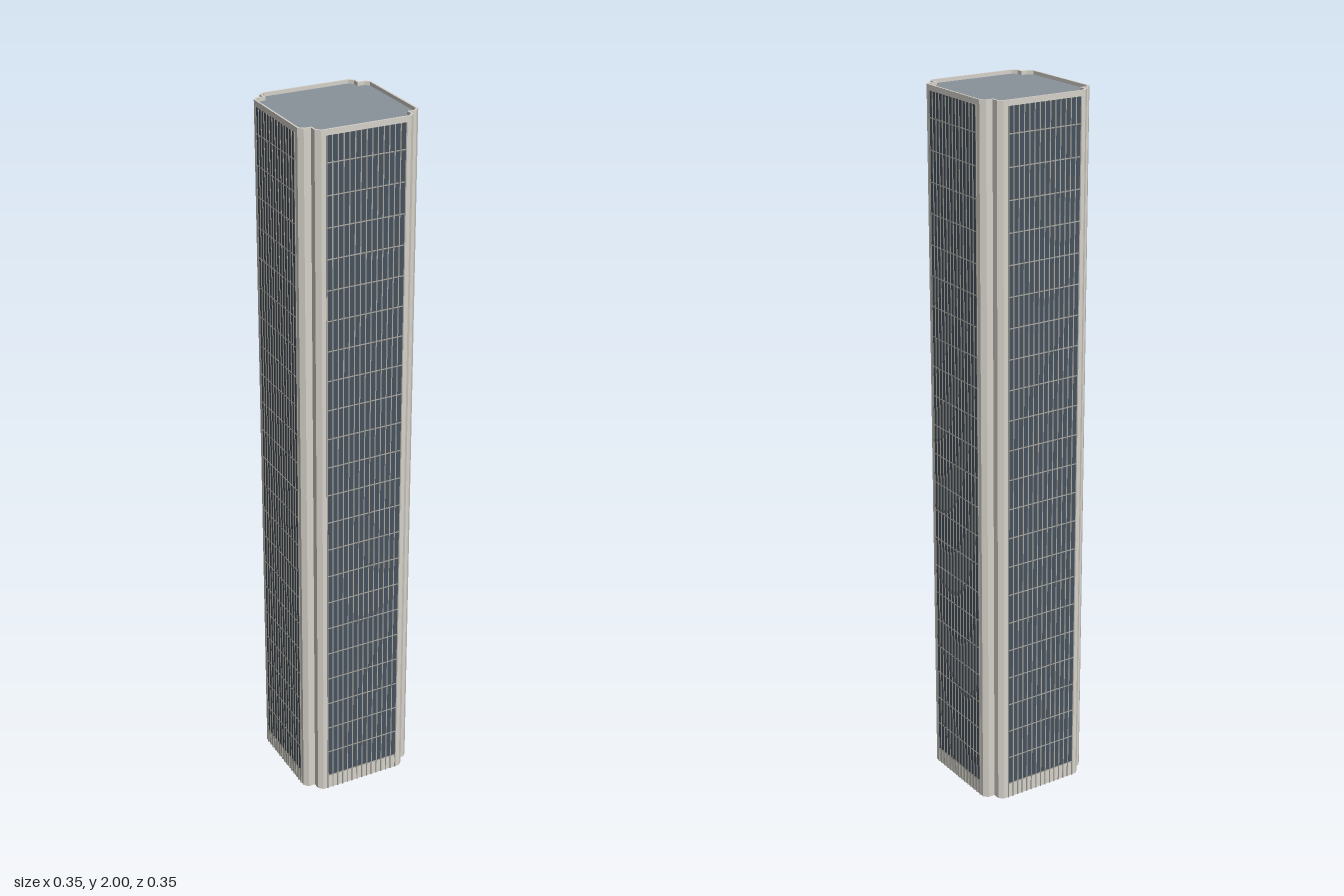
import * as THREE from 'three';

const HEIGHT = 2, HALF = 0.1685, TWIST = 0.02;
const GLASS_W = 0.222, GLASS_BASE = 0.043, GLASS_TOP = 1.985;
const BAYS = 14, FLOOR = 0.085;

// Square plan with chamfered, notched corners; inset shrinks it evenly
function planPoints(inset = 0) {
  const a = HALF - inset, b = 0.1375 - inset, c = 0.157 - inset, d = 0.125 - inset * 0.6;
  const corner = [[d, a], [b, c], [b, b], [c, b], [a, d]];
  const points = [];
  for (let k = 0; k < 4; k++) {
    const cos = Math.round(Math.cos(k * Math.PI / 2)), sin = Math.round(Math.sin(k * Math.PI / 2));
    // clockwise around the plan
    for (const [x, y] of corner) points.push(new THREE.Vector2(x * cos + y * sin, y * cos - x * sin));
  }
  return points;
}

// Open vertical band that follows a closed plan outline
function wallBand(points, y0, y1) {
  const pos = [], n = points.length;
  points.forEach((p, i) => {
    const q = points[(i + 1) % n];
    pos.push(p.x, y0, p.y, p.x, y1, p.y, q.x, y1, q.y);
    pos.push(p.x, y0, p.y, q.x, y1, q.y, q.x, y0, q.y);
  });
  // the plan is walked clockwise in (x, z), so reverse z to face outwards
  for (let i = 2; i < pos.length; i += 3) pos[i] *= -1;
  for (let i = 0; i < pos.length; i += 9) {
    for (let j = 0; j < 3; j++) [pos[i + 3 + j], pos[i + 6 + j]] = [pos[i + 6 + j], pos[i + 3 + j]];
  }
  const geometry = new THREE.BufferGeometry();
  geometry.setAttribute('position', new THREE.Float32BufferAttribute(pos, 3));
  geometry.computeVertexNormals();
  // make sure the first face looks away from the axis
  const P = geometry.attributes.position, N = geometry.attributes.normal;
  if (P.getX(0) * N.getX(0) + P.getZ(0) * N.getZ(0) < 0) {
    for (let i = 0; i < P.count; i += 3) {
      const [x, y, z] = [P.getX(i + 1), P.getY(i + 1), P.getZ(i + 1)];
      P.setXYZ(i + 1, P.getX(i + 2), P.getY(i + 2), P.getZ(i + 2));
      P.setXYZ(i + 2, x, y, z);
    }
    geometry.computeVertexNormals();
  }
  return geometry;
}

export function createModel() {
  const stone = new THREE.MeshStandardMaterial({ color: 0xd6d2ca, side: THREE.DoubleSide });
  const glass = new THREE.MeshStandardMaterial({ color: 0x46525e });
  const metal = new THREE.MeshStandardMaterial({ color: 0xa9a69f });
  const roofGrey = new THREE.MeshStandardMaterial({ color: 0x8a939a, side: THREE.DoubleSide });

  const model = new THREE.Group();
  model.name = 'tower';
  const add = (parent, name, geometry, material, x = 0, y = 0, z = 0) => {
    const mesh = new THREE.Mesh(geometry, material);
    mesh.name = name;
    mesh.position.set(x, y, z);
    parent.add(mesh);
    return mesh;
  };

  // Hollow shaft, open at the ground
  const plan = planPoints();
  add(model, 'outerWalls', wallBand(plan, 0, HEIGHT), stone);

  // Parapet rim round a slightly sunken roof
  const inner = planPoints(0.005);
  const rim = new THREE.Shape(plan);
  rim.holes.push(new THREE.Path(inner));
  add(model, 'parapetRim', new THREE.ShapeGeometry(rim).rotateX(-Math.PI / 2), stone, 0, HEIGHT);
  add(model, 'parapetInside', wallBand(inner, HEIGHT - 0.01, HEIGHT), stone);
  add(model, 'roof', new THREE.ShapeGeometry(new THREE.Shape(inner)).rotateX(-Math.PI / 2), roofGrey, 0, HEIGHT - 0.01);

  // Curtain wall on each of the four sides
  const glassH = GLASS_TOP - GLASS_BASE;
  const paneGeo = new THREE.PlaneGeometry(GLASS_W, glassH);
  const finGeo = new THREE.BoxGeometry(0.003, GLASS_TOP, 0.003);
  const floorGeo = new THREE.BoxGeometry(GLASS_W, 0.003, 0.0016);
  for (let side = 0; side < 4; side++) {
    const facade = new THREE.Group();
    facade.name = 'facade' + (side + 1);
    facade.rotation.y = side * Math.PI / 2;
    model.add(facade);
    add(facade, 'glazing', paneGeo, glass, 0, GLASS_BASE + glassH / 2, HALF + 0.001);
    for (let i = 0; i <= BAYS; i++) {
      add(facade, 'mullion', finGeo, metal, (i / BAYS - 0.5) * GLASS_W, GLASS_TOP / 2, HALF + 0.001);
    }
    for (let y = GLASS_BASE + 0.002; y < GLASS_TOP; y += FLOOR) {
      add(facade, 'floorLine', floorGeo, metal, 0, y, HALF + 0.001);
    }
  }

  // The shaft sits turned very slightly on its axis
  model.rotation.y = TWIST;
  const root = new THREE.Group();
  root.name = 'skyscraper';
  root.add(model);
  return root;
}
